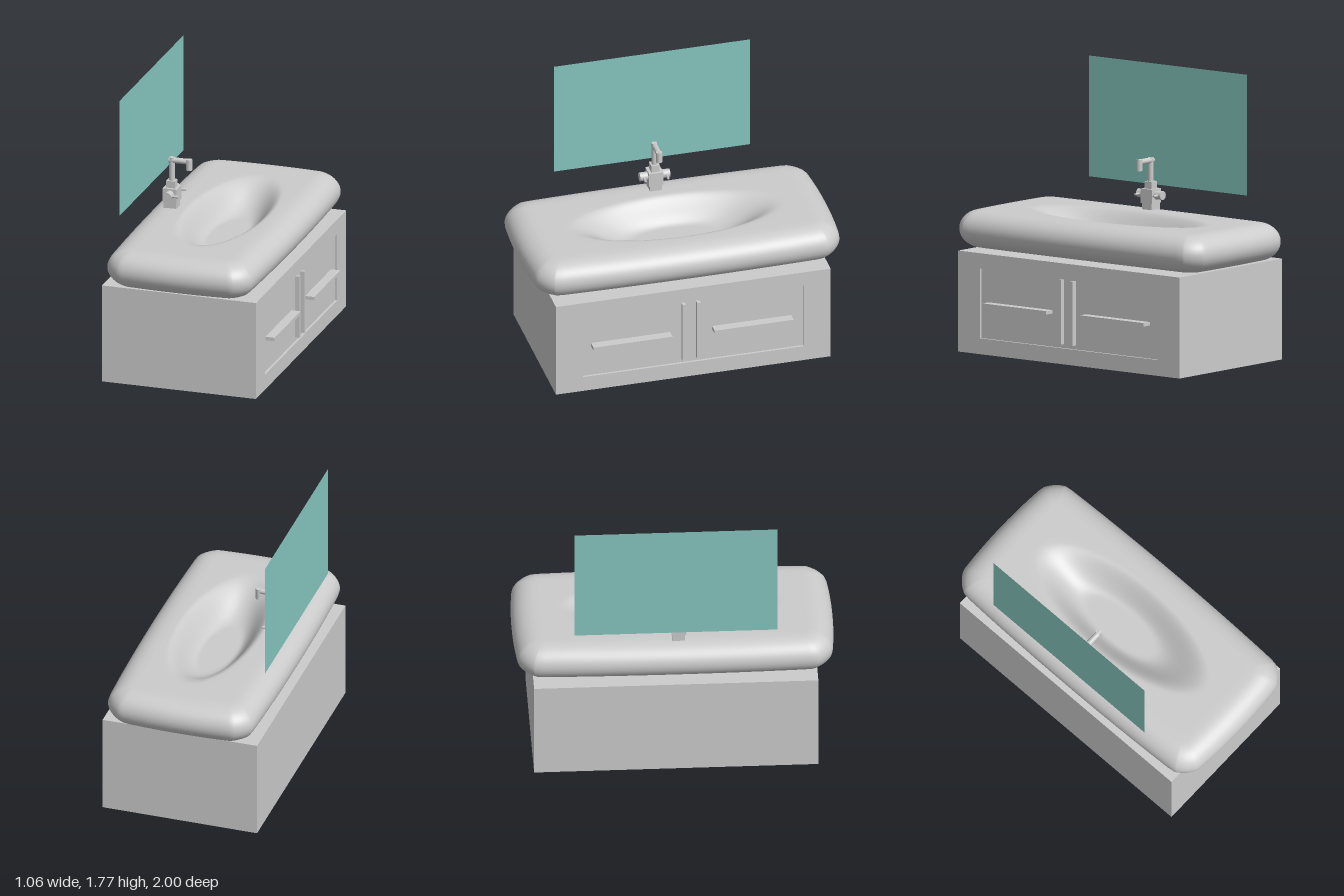
import * as THREE from 'three';

const grey = new THREE.MeshStandardMaterial({ color: 0xcccccc });
const glass = new THREE.MeshStandardMaterial({ color: 0x86c6bf, side: THREE.DoubleSide });

function add(parent, name, geometry, x, y, z, material = grey) {
  const mesh = new THREE.Mesh(geometry, material);
  mesh.name = name;
  mesh.position.set(x, y, z);
  parent.add(mesh);
  return mesh;
}

// Box given by its extents on each axis
function box(parent, name, [x0, x1], [y0, y1], [z0, z1]) {
  return add(parent, name, new THREE.BoxGeometry(x1 - x0, y1 - y0, z1 - z0),
    (x0 + x1) / 2, (y0 + y1) / 2, (z0 + z1) / 2);
}

// Padded slab with an oval bowl, lofted as closed rings from underside to bowl centre
function basinGeometry() {
  const N = 96, HX = 0.495, HZ = 1, MID = 0.76, HALF = 0.12, EDGE = 0.17;
  const cx = -0.025, bowlX = 0.0, bowlZ = -0.01;
  const clamp = v => Math.max(-1, Math.min(1, 2.5 * v));
  const outline = inset => t => {
    const r = 0.22 - inset, c = Math.cos(t), s = Math.sin(t);
    return [cx + (HX - inset - r) * clamp(c) + r * c, (HZ - inset - r) * clamp(s) + r * s];
  };
  const oval = k => t => [bowlX + 0.27 * k * Math.cos(t), bowlZ + 0.69 * k * Math.sin(t)];
  const rings = [];
  // underside and rounded rim
  rings.push([() => [cx, 0], MID - HALF]);
  for (let i = 0; i <= 24; i++) {
    const a = -Math.PI / 2 + Math.PI * i / 24;
    const c = Math.pow(Math.max(0, Math.cos(a)), 0.85);
    rings.push([outline(EDGE * (1 - c)), MID + HALF * Math.sin(a)]);
  }
  // flat deck blending from the outline to the oval
  const outer = outline(EDGE), inner = oval(1);
  for (let i = 1; i < 6; i++) {
    rings.push([t => {
      const p = outer(t), q = inner(t), f = i / 6;
      return [p[0] + (q[0] - p[0]) * f, p[1] + (q[1] - p[1]) * f];
    }, MID + HALF]);
  }
  // bowl
  for (let i = 0; i <= 24; i++) {
    const k = 1 - i / 24;
    rings.push([oval(k), MID + HALF - 0.15 * THREE.MathUtils.smoothstep(1 - k, 0, 0.6)]);
  }
  const pos = [], index = [];
  rings.forEach(([fn, y], j) => {
    for (let i = 0; i < N; i++) {
      const [x, z] = fn(2 * Math.PI * i / N);
      pos.push(x, y, z);
      if (j === 0) continue;
      const n = (i + 1) % N, a = (j - 1) * N + i, b = (j - 1) * N + n, c = j * N + i, d = j * N + n;
      index.push(a, c, b, b, c, d);
    }
  });
  const g = new THREE.BufferGeometry();
  g.setAttribute('position', new THREE.Float32BufferAttribute(pos, 3));
  g.setIndex(index);
  g.computeVertexNormals();
  return g;
}

function buildCabinet() {
  const g = new THREE.Group();
  g.name = 'cabinet';
  const face = 0.48, recess = 0.465;
  box(g, 'cabinetBody', [-0.53, recess], [0, 0.635], [-0.885, 0.885]);
  // front frame around the recessed doors
  const frame = new THREE.Shape();
  frame.moveTo(-0.885, 0).lineTo(0.885, 0).lineTo(0.885, 0.635).lineTo(-0.885, 0.635).closePath();
  const hole = new THREE.Path();
  hole.moveTo(-0.71, 0.1).lineTo(-0.71, 0.54).lineTo(0.71, 0.54).lineTo(0.71, 0.1).closePath();
  frame.holes.push(hole);
  const frameGeo = new THREE.ExtrudeGeometry(frame, { depth: face - recess, bevelEnabled: false });
  add(g, 'doorFrame', frameGeo.rotateY(Math.PI / 2), recess, 0, 0);
  // one upright bar and one long handle per door
  for (const s of [-1, 1]) {
    const bar = 0.015 + s * 0.047, pull = 0.01 + s * 0.39;
    box(g, 'doorBar', [recess, 0.495], [0.125, 0.53], [bar - 0.011, bar + 0.011]);
    box(g, 'doorHandle', [recess, 0.525], [0.308, 0.33], [pull - 0.255, pull + 0.255]);
  }
  return g;
}

function buildFaucet() {
  const g = new THREE.Group();
  g.name = 'faucet';
  const X = -0.358, Z = 0.023, R = 0.018;
  box(g, 'faucetBase', [X - 0.042, X + 0.04], [0.87, 0.92], [Z - 0.038, Z + 0.038]);
  box(g, 'faucetBody', [X - 0.046, X + 0.046], [0.92, 1.01], [Z - 0.046, Z + 0.046]);
  box(g, 'faucetCollar', [X - 0.03, X + 0.028], [1.01, 1.055], [Z - 0.027, Z + 0.027]);
  const pipe = (name, r, len, x, y, z) => add(g, name, new THREE.CylinderGeometry(r, r, len, 20), x, y, z);
  pipe('riser', R, 0.15, X, 1.13, Z);
  pipe('spout', R, 0.14, X + 0.052, 1.187, Z).rotation.z = Math.PI / 2;
  pipe('nozzle', 0.02, 0.07, -0.246, 1.168, Z);
  // side knobs with small lever pins
  for (const s of [-1, 1]) {
    pipe('knob', 0.028, 0.052, X, 0.973, Z + s * 0.071).rotation.x = Math.PI / 2;
    pipe('lever', 0.008, 0.07, X + 0.03, 0.973, Z + s * 0.073).rotation.z = Math.PI / 2;
  }
  return g;
}

export function createModel() {
  const model = new THREE.Group();
  model.name = 'bathroomVanity';
  model.add(buildCabinet());
  add(model, 'basin', basinGeometry(), 0, 0, 0);
  model.add(buildFaucet());
  // mirror pane standing behind the faucet
  add(model, 'mirror', new THREE.PlaneGeometry(1.265, 0.76).rotateY(Math.PI / 2), -0.5, 1.39, 0, glass);
  return model;
}
